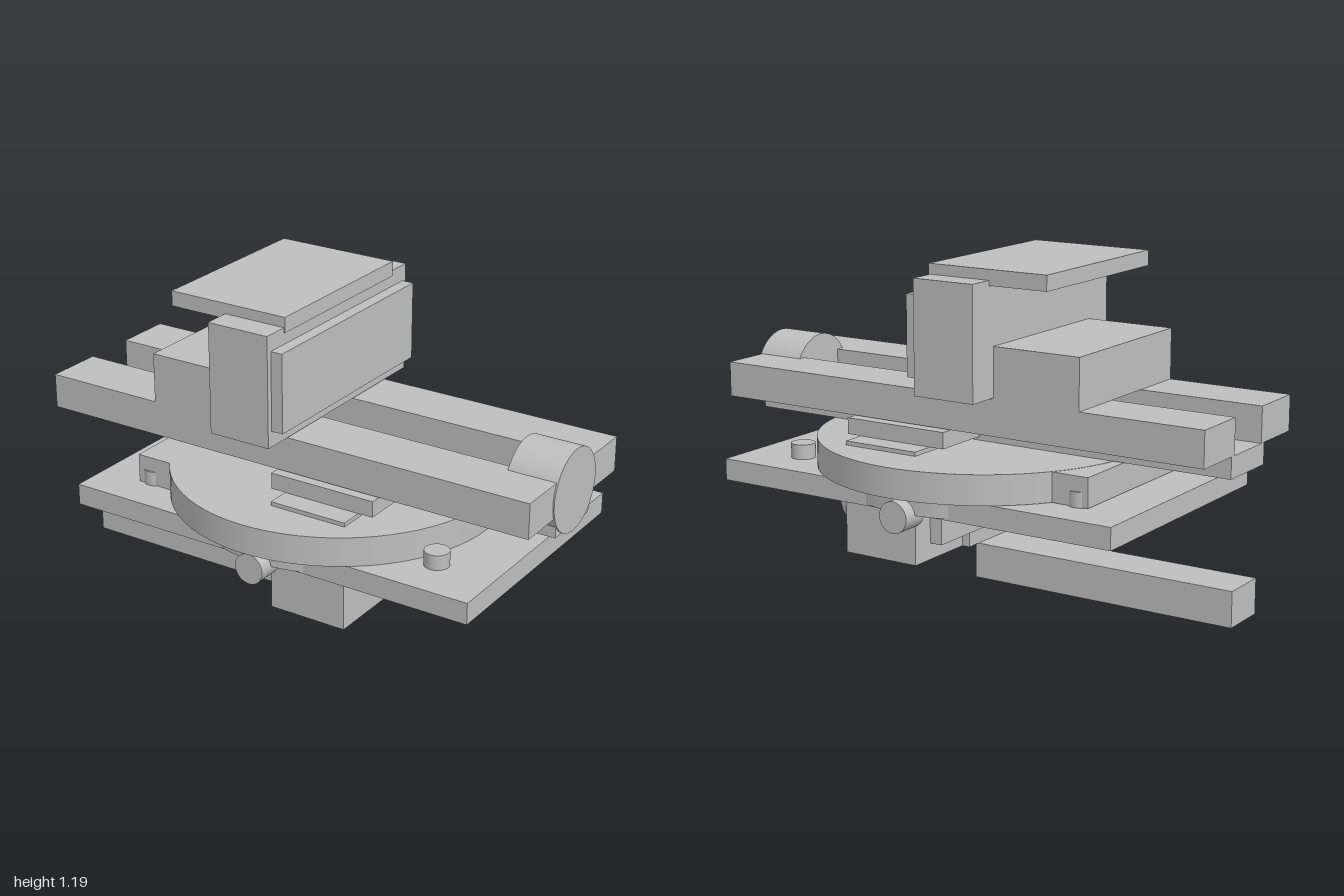
import * as THREE from 'three';

export function createModel() {
  const model = new THREE.Group();
  model.name = 'slidingStage';
  const grey = new THREE.MeshStandardMaterial({ color: 0xbfbfbf });
  grey.name = 'machined grey';

  const add = (name, geometry, x, y, z) => {
    const mesh = new THREE.Mesh(geometry, grey);
    mesh.name = name;
    mesh.position.set(x, y, z);
    model.add(mesh);
    return mesh;
  };
  // Box given by its extents on each axis
  const box = (name, x0, x1, y0, y1, z0, z1) =>
    add(name, new THREE.BoxGeometry(x1 - x0, y1 - y0, z1 - z0), (x0 + x1) / 2, (y0 + y1) / 2, (z0 + z1) / 2);
  // Cylinder centred at a point, turned onto the given axis
  const rod = (name, axis, radius, length, x, y, z) => {
    const g = new THREE.CylinderGeometry(radius, radius, length, 72);
    if (axis === 'x') g.rotateZ(Math.PI / 2);
    if (axis === 'z') g.rotateX(Math.PI / 2);
    return add(name, g, x, y, z);
  };

  // Lower arm and clamp
  box('baseArm', -1, 0.04, 0, 0.13, -0.09, 0.09);
  box('clampBlock', 0.058, 0.36, 0.13, 0.338, -0.44, 0.44);
  box('clampJawLower', 0.027, 0.07, 0.13, 0.19, -0.15, 0.15);
  box('clampJawUpper', 0.01, 0.07, 0.19, 0.338, -0.35, 0.35);
  box('clampNeck', 0.35, 0.49, 0.13, 0.305, -0.145, 0.145);
  rod('clampKnob', 'x', 0.088, 0.2, 0.56, 0.197, 0);

  // Base plate with its pivot disc
  box('basePlate', -0.76, 0.873, 0.335, 0.415, -0.495, 0.495);
  rod('pivotDisc', 'y', 0.525, 0.065, 0.055, 0.373, 0);

  // Turntable with rectangular tab
  rod('turntable', 'y', 0.613, 0.108, 0.055, 0.471, 0);
  box('turntableTab', -0.588, 0, 0.417, 0.524, -0.352, 0.352);

  // Paired screws and stop pins
  for (const s of [-1, 1]) {
    rod('sideScrewShaft', 'z', 0.032, 0.08, 0.057, 0.337, s * 0.45);
    rod('sideScrewHead', 'z', 0.057, 0.105, 0.057, 0.337, s * 0.521);
    for (const x of [-0.54, 0.652]) rod('stopPin', 'y', 0.045, 0.06, x, 0.44, s * 0.315);
  }

  // Cross saddle
  box('saddlePlate', 0.058, 0.36, 0.52, 0.54, -0.437, 0.437);
  box('saddleBlock', 0, 0.417, 0.54, 0.6, -0.35, 0.35);

  // Grooved slide: floor bar and two rails
  box('slideFloor', -1, 0.993, 0.526, 0.604, -0.122, 0.122);
  for (const s of [-1, 1]) {
    box('slideRail', -1, 0.993, 0.604, 0.734, s > 0 ? 0.1 : -0.318, s > 0 ? 0.318 : -0.1);
  }
  rod('slideKnob', 'x', 0.152, 0.188, 0.904, 0.658, 0);

  // Carriage and upper plates
  box('carriage', -0.53, -0.18, 0.734, 0.92, -0.318, 0.318);
  box('uprightBlock', -0.188, 0.055, 0.74, 1.15, -0.443, 0.443);
  box('facePlate', 0.05, 0.1, 0.798, 1.09, -0.422, 0.422);
  box('topPlate', -0.417, 0.06, 1.132, 1.188, -0.344, 0.344);

  return model;
}
